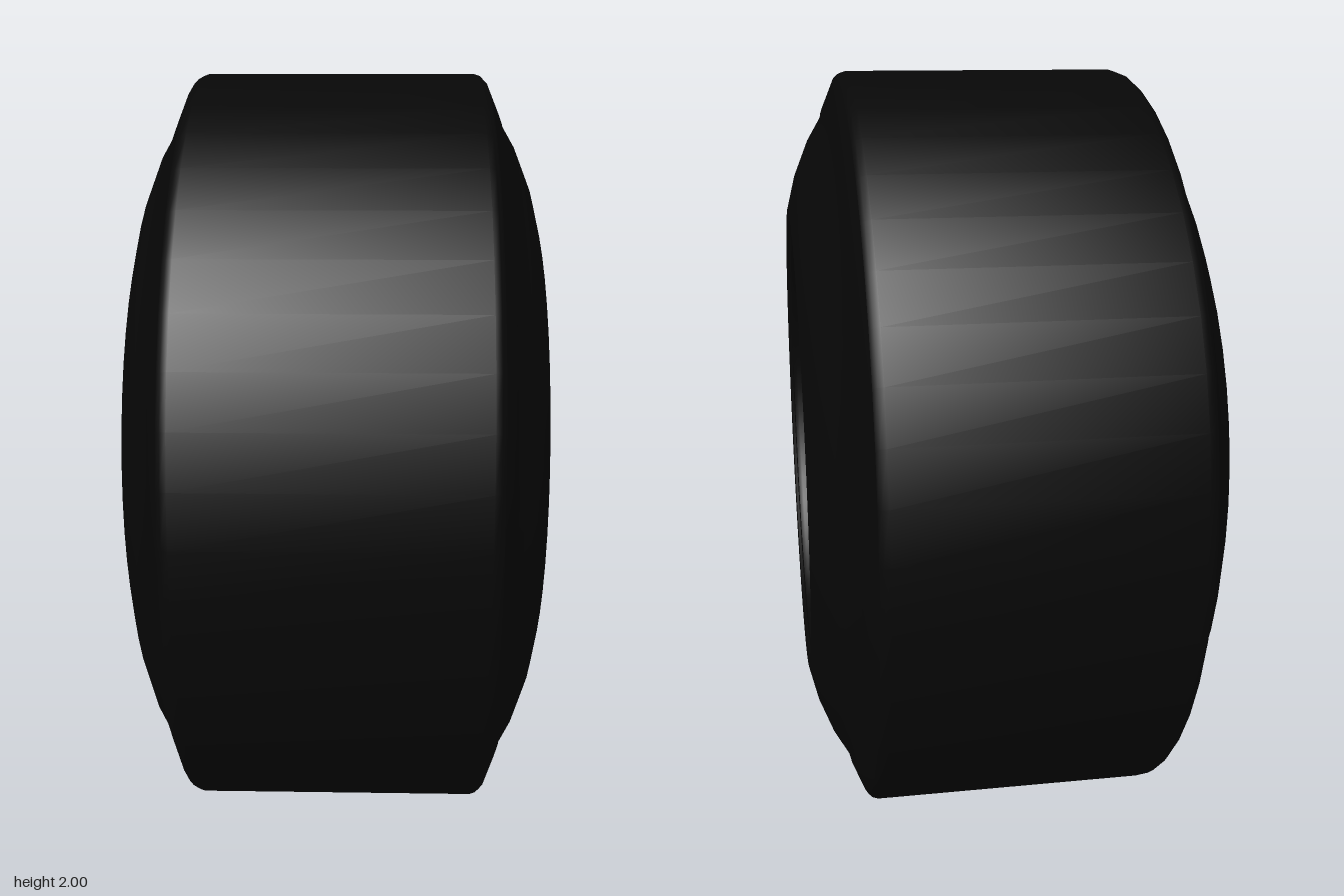
import * as THREE from 'three';
import { toCreasedNormals } from 'three/addons/utils/BufferGeometryUtils.js';

const SEGMENTS = 48;

export function createModel() {
  const group = new THREE.Group();
  group.name = 'tyre';
  const rubber = new THREE.MeshStandardMaterial({ color: 0x070707 });
  rubber.name = 'black rubber';

  // Turned part around the x axis from [radius, x] points
  function turned(name, points) {
    const profile = points.map(([r, x]) => new THREE.Vector2(r, x));
    const geometry = toCreasedNormals(new THREE.LatheGeometry(profile, SEGMENTS), 0.6);
    geometry.rotateZ(-Math.PI / 2);
    const mesh = new THREE.Mesh(geometry, rubber);
    mesh.name = name;
    mesh.position.y = 1;
    group.add(mesh);
  }

  // Half profiles on the +x side, from the tread edge in to the hole
  const sidewall = [
    [0.985, 0.38], [0.91, 0.412], [0.895, 0.412], [0.82, 0.457],
    [0.73, 0.494], [0.64, 0.517],
  ];
  const bead = [
    [0.64, 0.517], [0.605, 0.515], [0.6, 0.508], [0.575, 0.506], [0.568, 0.495], [0.565, 0.36],
  ];
  const mirrored = (points) => points.map(([r, x]) => [r, -x]).reverse();

  // Flat tread with small rounded shoulders
  turned('tread', [[0.985, -0.38], [0.995, -0.37], [1, -0.355], [1, 0.355], [0.995, 0.37], [0.985, 0.38]]);

  // Sidewalls and stepped beads on both sides
  turned('leftSidewall', sidewall);
  turned('rightSidewall', mirrored(sidewall));
  turned('leftBead', bead);
  turned('rightBead', mirrored(bead));

  // Hollow inside of the casing, facing the axle
  const liner = [[0.565, 0.36], [0.64, 0.39], [0.74, 0.4], [0.85, 0.37], [0.93, 0.32], [0.95, 0.28]];
  turned('innerLiner', [...liner, ...mirrored(liner)]);

  return group;
}
